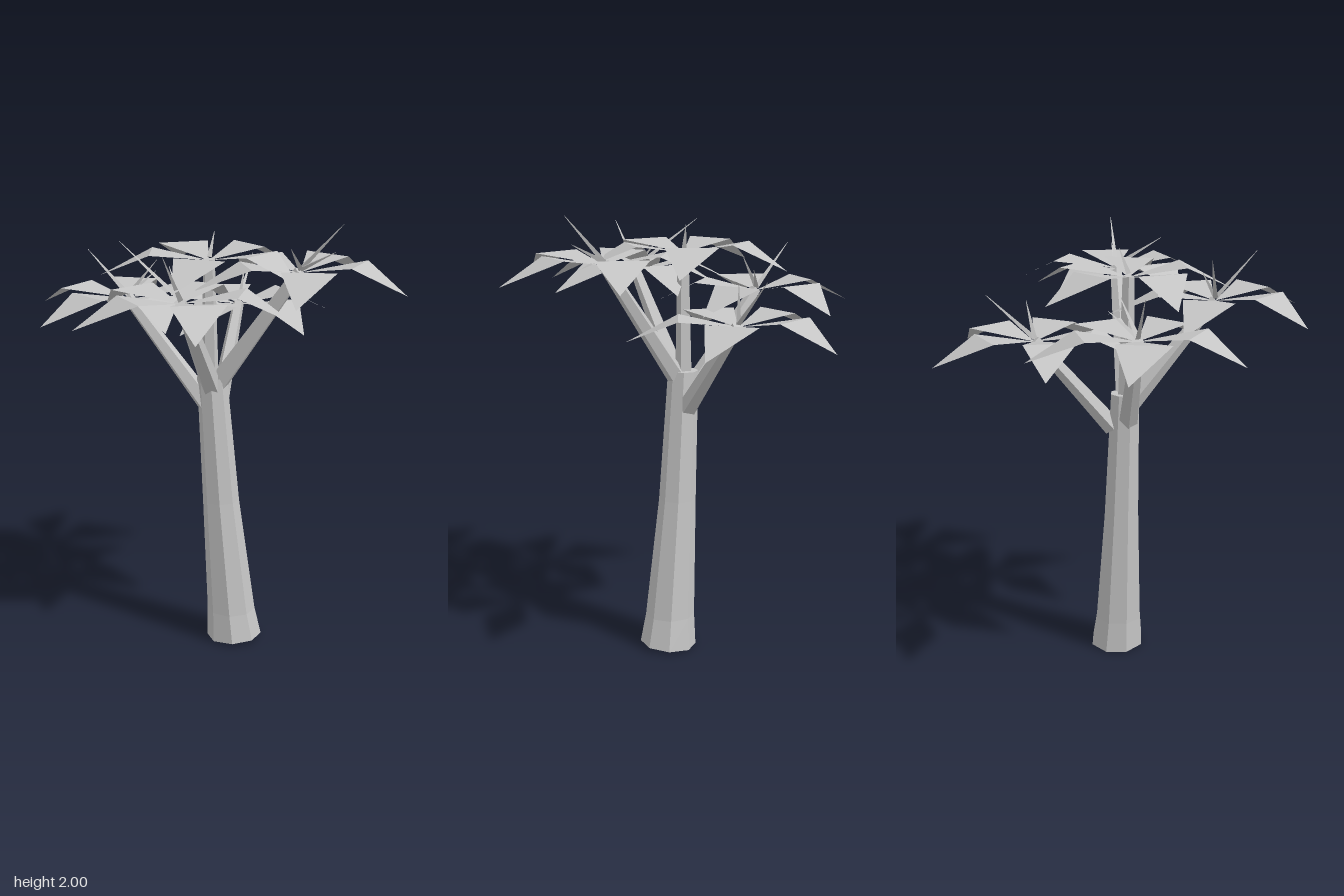
import * as THREE from 'three';

const V = (x, y, z) => new THREE.Vector3(x, y, z);
const UP = V(0, 1, 0);

export function createModel() {
  const tree = new THREE.Group();
  tree.name = 'tree';
  const grey = new THREE.MeshStandardMaterial({ color: 0xc4c4c4, flatShading: true, side: THREE.DoubleSide });
  grey.name = 'pale grey';

  function add(parent, geometry, name) {
    const mesh = new THREE.Mesh(geometry, grey);
    mesh.name = name;
    parent.add(mesh);
    return mesh;
  }

  // Tapered limb running from a to b
  function limb(parent, a, b, ra, rb, sides, name) {
    const dir = b.clone().sub(a);
    const mesh = add(parent, new THREE.CylinderGeometry(rb, ra, dir.length(), sides), name);
    mesh.position.copy(a).add(b).multiplyScalar(0.5);
    mesh.quaternion.setFromUnitVectors(UP, dir.normalize());
  }

  // Leaning octagonal trunk, open below, built from rings: x, y, z, radius
  const rings = [
    [0.095, 0.01, -0.075, 0.128], [0.083, 0.15, -0.066, 0.112],
    [0.04, 0.7, -0.04, 0.084], [0.006, 1.29, -0.015, 0.068],
  ];
  const sides = 8, pos = [], idx = [];
  rings.forEach(([x, y, z, r], k) => {
    for (let i = 0; i < sides; i++) {
      const a = i / sides * Math.PI * 2 + 0.21, c = Math.cos(a) * r, s = Math.sin(a) * r;
      pos.push(x + c, y + (k === 0 ? c * 0.08 : 0), z + s);
      if (k < rings.length - 1) {
        const p = k * sides + i, q = k * sides + (i + 1) % sides;
        idx.push(p, p + sides, q, q, p + sides, q + sides);
      }
    }
  });
  const last = (rings.length - 1) * sides;
  for (let i = 1; i < sides - 1; i++) idx.push(last, last + i + 1, last + i); // top cap
  const trunk = new THREE.BufferGeometry();
  trunk.setAttribute('position', new THREE.Float32BufferAttribute(pos, 3));
  trunk.setIndex(idx);
  trunk.computeVertexNormals();
  add(tree, trunk, 'trunk');

  // Lopsided kite leaf: rises to its widest line, then droops to a point
  const leaf = new THREE.BufferGeometry();
  leaf.setAttribute('position', new THREE.Float32BufferAttribute([
    0, -0.015, 0, 0.25, 0.03, 0.072, 0.252, 0.03, -0.158, 0.473, -0.08, 0,
  ], 3));
  leaf.setIndex([0, 1, 2, 1, 3, 2]);
  leaf.computeVertexNormals();

  // Crowns: branch root, centre, first leaf angle (degrees from +x to +z), shoot tips
  const crowns = [
    { name: 'centre', root: V(0, 1.26, -0.01), at: V(0, 1.83, 0), angle: -73, r: 0.04,
      shoots: [[0, 1.94, -0.04]] },
    { name: 'left', root: V(0.03, 1.25, -0.02), at: V(0.386, 1.8, -0.138), angle: -14, r: 0.045,
      shoots: [[0.56, 2.0, -0.2], [0.47, 1.92, 0.06], [0.53, 1.88, -0.19]] },
    { name: 'right', root: V(-0.01, 1.16, 0), at: V(-0.376, 1.635, 0.115), angle: 173, r: 0.045,
      shoots: [[-0.55, 1.83, 0.18], [-0.32, 1.73, -0.02], [-0.28, 1.79, 0.02]] },
    { name: 'front', root: V(0.02, 1.25, 0.01), at: V(0.135, 1.715, 0.365), angle: 44, r: 0.048,
      shoots: [[0.19, 1.92, 0.54], [-0.17, 1.93, 0.39], [0.04, 1.84, 0.32]] },
    { name: 'back', root: V(0, 1.13, -0.07), at: V(-0.13, 1.555, -0.394), angle: 15, r: 0.045,
      shoots: [[-0.19, 1.75, -0.59], [-0.12, 1.72, -0.43]] },
  ];

  for (const { name, root, at, angle, r, shoots } of crowns) {
    const crown = new THREE.Group();
    crown.name = name + 'Crown';
    tree.add(crown);
    limb(crown, root, at.clone().add(V(0, -0.01, 0)), r, 0.027, 5, name + 'Branch');
    // Five evenly spread leaves
    for (let i = 0; i < 5; i++) {
      const mesh = add(crown, leaf, 'leaf');
      mesh.position.copy(at);
      mesh.rotation.y = -THREE.MathUtils.degToRad(angle + i * 72);
    }
    // Young upright shoots
    for (const tip of shoots) limb(crown, at, V(...tip), 0.013, 0.001, 3, 'shoot');
  }
  return tree;
}
